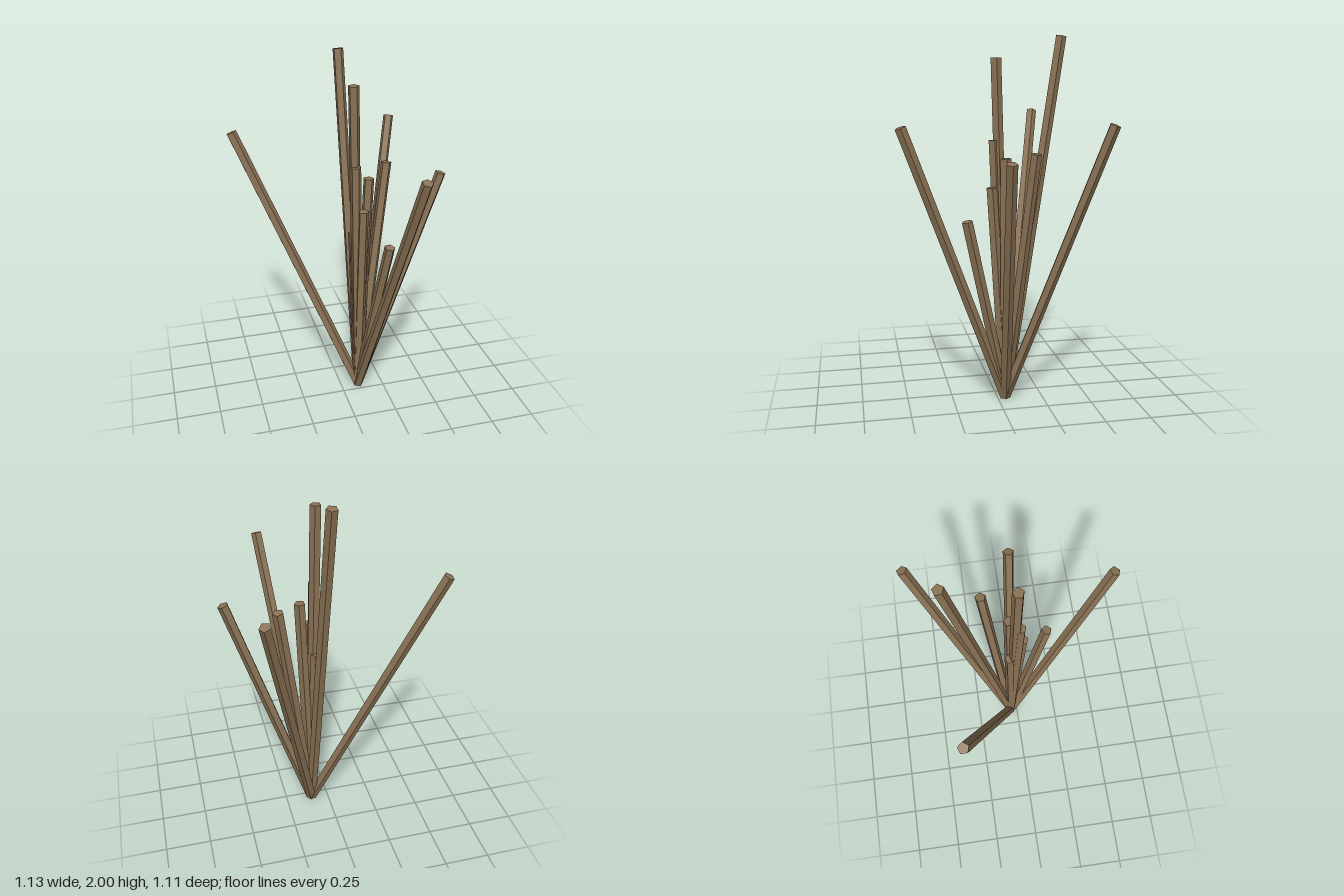
import * as THREE from 'three';

export function createModel() {
  const group = new THREE.Group();
  group.name = 'stickBundle';
  const material = new THREE.MeshStandardMaterial({ color: 0x8b7355, flatShading: true });
  const up = new THREE.Vector3(0, 1, 0);
  const base = new THREE.Vector3(0.1, 0.011, -0.04);
  const radius = 0.03;

  // Centre of each stick's upper end
  const tips = [
    [-0.54, 1.58, -0.335],
    [0.418, 1.545, -0.533],
    [0.06, 1.995, -0.345],
    [0.288, 1.395, -0.16],
    [0.54, 1.375, -0.0 + 0.022],
    [0.205, 1.04, 0.187],
    [0.266, 1.535, 0.527],
    [0.148, 1.36, -0.03],
    [0.05, 1.88, 0.005],
    [0.1, 1.2, 0.037],
    [0.06, 1.45, 0.018],
    [0.065, 1.04, -0.04],
  ];

  // Five-sided sticks fanning out from one shared foot
  tips.forEach((p, i) => {
    const axis = new THREE.Vector3(...p).sub(base);
    const length = axis.length();
    const geometry = new THREE.CylinderGeometry(radius, radius, length, 5, 1, false, Math.PI / 2);
    geometry.translate(0, length / 2, 0);
    const stick = new THREE.Mesh(geometry, material);
    stick.name = `stick${i + 1}`;
    stick.position.copy(base);
    stick.quaternion.setFromUnitVectors(up, axis.normalize());
    group.add(stick);
  });

  return group;
}
